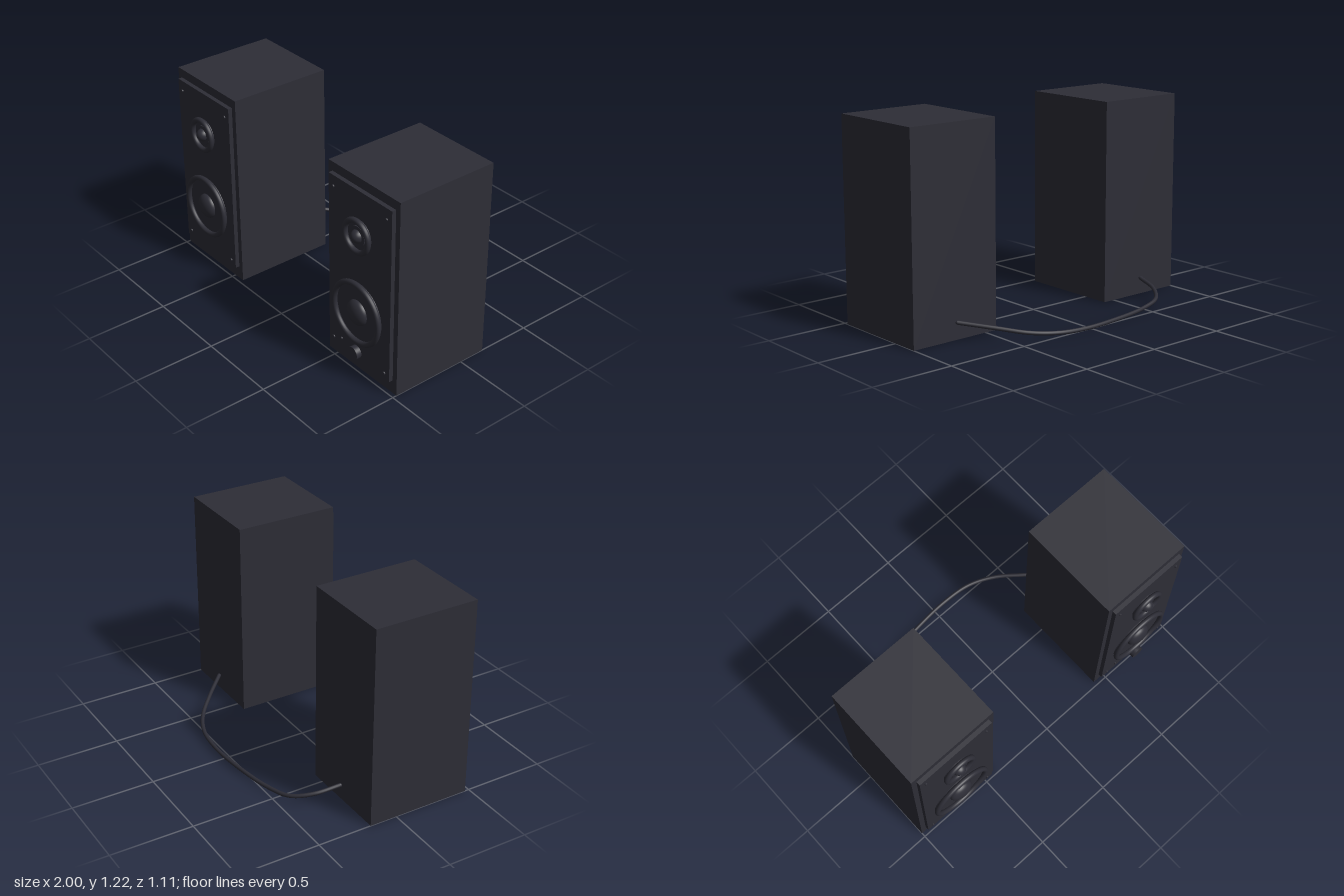
import * as THREE from 'three';

const charcoal = new THREE.MeshStandardMaterial({ color: 0x2d2d36 });
charcoal.name = 'charcoal';

function add(parent, name, geometry, x, y, z) {
  const mesh = new THREE.Mesh(geometry, charcoal);
  mesh.name = name;
  mesh.position.set(x, y, z);
  parent.add(mesh);
  return mesh;
}

// Cylinder whose axis points to the front
const disc = (r, depth, sides = 48) =>
  new THREE.CylinderGeometry(r, r, depth, sides).rotateX(Math.PI / 2);

// Flattened half sphere bulging to the front
const dome = (r, depth) =>
  new THREE.SphereGeometry(r, 40, 14, 0, Math.PI * 2, 0, Math.PI / 2)
    .rotateX(Math.PI / 2).scale(1, 1, depth / r);

// Driver: mounting disc, rolled surround and centre dome
function addDriver(parent, name, y, radius, capRadius) {
  const driver = new THREE.Group();
  driver.name = name;
  driver.position.set(0, y, 0.5);
  const tube = 0.016;
  add(driver, 'mountingDisc', disc(radius - 0.014, 0.016), 0, 0, 0.002);
  add(driver, 'surround', new THREE.TorusGeometry(radius - tube, tube, 14, 56), 0, 0, 0.021);
  add(driver, 'dustCap', dome(capRadius, 0.043), 0, 0, 0.01);
  parent.add(driver);
  return driver;
}

function makeSpeaker(name, x) {
  const speaker = new THREE.Group();
  speaker.name = name;
  speaker.position.x = x;
  add(speaker, 'cabinet', new THREE.BoxGeometry(0.576, 1.22, 0.642), 0, 0.61, 0.153);
  add(speaker, 'baffle', new THREE.BoxGeometry(0.51, 1.08, 0.03), 0, 0.625, 0.485);
  addDriver(speaker, 'woofer', 0.41, 0.2, 0.077);
  const tweeter = addDriver(speaker, 'tweeter', 0.9, 0.11, 0.04);
  add(tweeter, 'innerRing', disc(0.06, 0.008), 0, 0, 0.014);

  // Baffle screws in the four corners
  for (const sx of [-0.215, 0.215])
    for (const y of [0.125, 1.1])
      add(speaker, 'screw', disc(0.009, 0.01, 16), sx, y, 0.503);
  return speaker;
}

export function createModel() {
  const model = new THREE.Group();
  model.name = 'speakerPair';
  model.add(makeSpeaker('rightSpeaker', -0.712));
  const active = makeSpeaker('leftSpeaker', 0.712);
  model.add(active);

  // Volume knob and power light on the active speaker
  add(active, 'volumeKnob', disc(0.04, 0.032, 32), 0, 0.15, 0.531);
  add(active, 'powerLight', disc(0.008, 0.01, 16), -0.147, 0.15, 0.503);

  // Cable sagging behind both cabinets
  const path = new THREE.CatmullRomCurve3([
    [-0.712, 0.105, -0.185], [-0.675, 0.078, -0.33], [-0.59, 0.05, -0.435],
    [-0.42, 0.031, -0.487], [-0.15, 0.027, -0.53], [0.08, 0.028, -0.545],
    [0.27, 0.036, -0.525], [0.42, 0.05, -0.455], [0.56, 0.077, -0.335],
    [0.712, 0.105, -0.185],
  ].map((p) => new THREE.Vector3(...p)));
  add(model, 'cable', new THREE.TubeGeometry(path, 80, 0.012, 12), 0, 0, 0);
  for (const t of [0, 1]) {
    const p = path.getPoint(t);
    add(model, 'cableEnd', new THREE.SphereGeometry(0.012, 12, 8), p.x, p.y, p.z);
  }
  return model;
}
